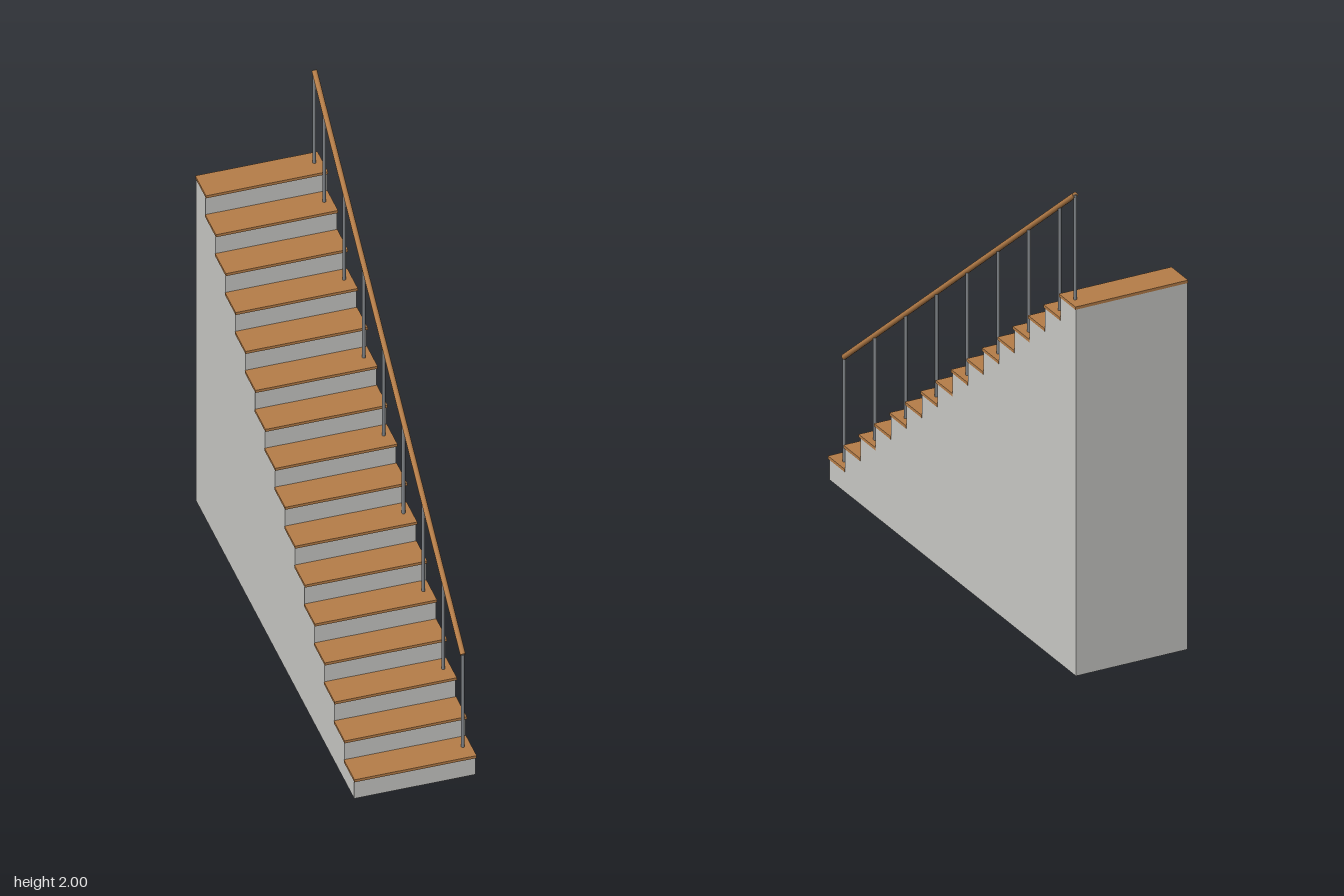
import * as THREE from 'three';

const STEPS = 16, RUN = 0.1213, RISE = 0.097, BACK = -0.976;
const NOSING = 0.0095, TREAD = 0.012, WIDTH = 0.486;
const FRONT = BACK + STEPS * RUN;
const RAIL_X = 0.211, RAIL_HEIGHT = 0.439;

const wood = new THREE.MeshStandardMaterial({ color: 0xb57d48 });
wood.name = 'wood';
const concrete = new THREE.MeshStandardMaterial({ color: 0xc8c8c5 });
concrete.name = 'concrete';
const metal = new THREE.MeshStandardMaterial({ color: 0x7c8084 });
metal.name = 'metal';

// Middle of the top surface of a step
const stepCentre = (i) => new THREE.Vector3(RAIL_X, (i + 1) * RISE, FRONT - (i + 0.5) * RUN);

function rod(name, a, b, radius, material) {
  const mesh = new THREE.Mesh(new THREE.CylinderGeometry(radius, radius, a.distanceTo(b), 12), material);
  mesh.name = name;
  mesh.position.copy(a).add(b).multiplyScalar(0.5);
  mesh.quaternion.setFromUnitVectors(new THREE.Vector3(0, 1, 0), b.clone().sub(a).normalize());
  return mesh;
}

export function createModel() {
  const model = new THREE.Group();
  model.name = 'staircase';

  // Solid stepped base: side profile extruded across the width
  const profile = new THREE.Shape();
  profile.moveTo(BACK, 0);
  profile.lineTo(FRONT, 0);
  for (let i = 0; i < STEPS; i++) {
    const y = (i + 1) * RISE - TREAD;
    profile.lineTo(FRONT - i * RUN, y);
    profile.lineTo(FRONT - (i + 1) * RUN, y);
  }
  profile.closePath();
  const baseWidth = WIDTH - 0.004;
  const baseGeometry = new THREE.ExtrudeGeometry(profile, { depth: baseWidth, bevelEnabled: false });
  baseGeometry.translate(0, 0, -baseWidth / 2).rotateY(-Math.PI / 2);
  const base = new THREE.Mesh(baseGeometry, concrete);
  base.name = 'steppedBase';
  model.add(base);

  // Wooden treads with a small nosing
  const treadGeometry = new THREE.BoxGeometry(WIDTH, TREAD, RUN + NOSING);
  for (let i = 0; i < STEPS; i++) {
    const tread = new THREE.Mesh(treadGeometry, wood);
    tread.name = `tread${i + 1}`;
    tread.position.set(0, (i + 1) * RISE - TREAD / 2, stepCentre(i).z + NOSING / 2);
    model.add(tread);
  }

  // Posts on every second step and on the last one
  const up = new THREE.Vector3(0, RAIL_HEIGHT, 0);
  for (let i = 0; i < STEPS; i++) {
    if (i % 2 && i !== STEPS - 1) continue;
    const foot = stepCentre(i);
    model.add(rod(`post${i + 1}`, foot, foot.clone().add(up), 0.007, metal));
  }

  // Sloping handrail
  model.add(rod('handrail', stepCentre(0).add(up), stepCentre(STEPS - 1).add(up), 0.011, wood));
  return model;
}
